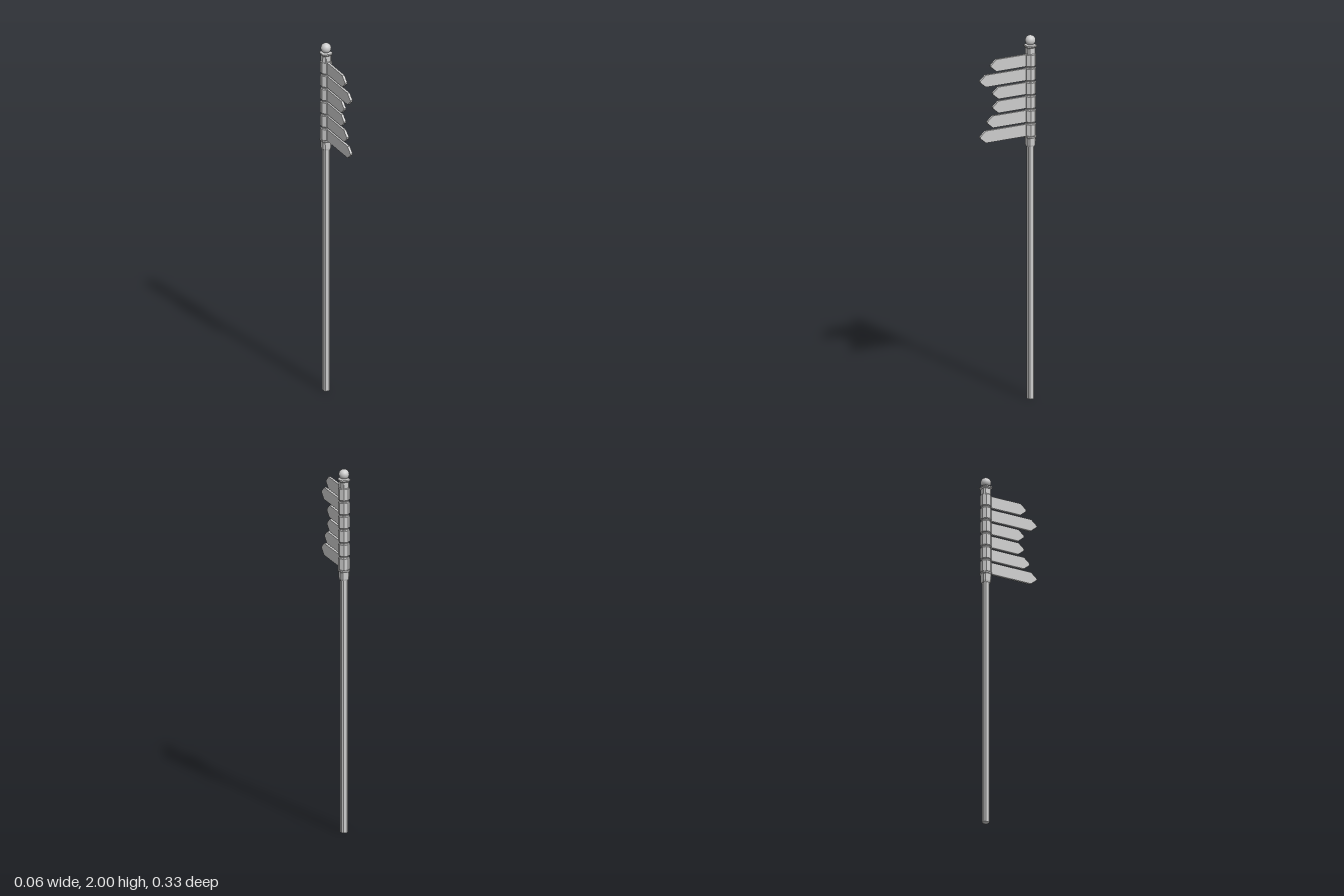
import * as THREE from 'three';

const POST_Z = -0.139;
const material = new THREE.MeshStandardMaterial({ color: 0xcccccc, flatShading: true });
const smooth = new THREE.MeshStandardMaterial({ color: 0xcccccc });

// Eight-sided turned part. Profile is [halfWidth, y] from bottom to top;
// flat is the length of the main sides as a share of the width.
function octagonPart(name, profile, flat) {
  const points = [[0, profile[0][1]], ...profile, [0, profile[profile.length - 1][1]]]
    .map(([r, y]) => new THREE.Vector2(r, y));
  const geometry = new THREE.LatheGeometry(points, 8, Math.PI / 8);
  const p = geometry.attributes.position;
  for (let i = 0; i < p.count; i++) {
    const x = p.getX(i), z = p.getZ(i), r = Math.hypot(x, z);
    const wide = Math.abs(x) > Math.abs(z);
    p.setX(i, Math.sign(x) * r * (wide ? 1 : flat));
    p.setZ(i, Math.sign(z) * r * (wide ? flat : 1));
  }
  geometry.computeVertexNormals();
  const mesh = new THREE.Mesh(geometry, material);
  mesh.name = name;
  mesh.position.z = POST_Z;
  return mesh;
}

// Pointed board running from the post towards +z
function signBoard(tip, y, height) {
  const h = height / 2, back = -0.115, thickness = 0.0134;
  const shape = new THREE.Shape([
    [back, -h], [tip - 0.034, -h], [tip, -0.004], [tip, 0.004], [tip - 0.034, h], [back, h],
  ].map(([a, b]) => new THREE.Vector2(a, b)));
  const geometry = new THREE.ExtrudeGeometry(shape, { depth: thickness, bevelEnabled: false });
  geometry.translate(0, 0, -thickness / 2);
  geometry.rotateY(-Math.PI / 2);
  const mesh = new THREE.Mesh(geometry, material);
  mesh.name = 'signBoard';
  mesh.position.y = y;
  return mesh;
}

export function createModel() {
  const group = new THREE.Group();
  group.name = 'signpost';

  // Post and the core inside the sleeves
  group.add(octagonPart('post', [[0.0175, 0], [0.0175, 1.42]], 0.6));
  group.add(octagonPart('core', [[0.024, 1.42], [0.024, 1.92]], 0.4142));

  // Six sleeves, each holding one board
  const tips = [0.103, 0.167, 0.09, 0.09, 0.124, 0.167];
  tips.forEach((tip, i) => {
    const y = 1.865 - i * 0.0768, h = 0.0335;
    group.add(octagonPart('sleeve', [
      [0.025, y - h - 0.002], [0.0285, y - h + 0.003],
      [0.0285, y + h - 0.003], [0.025, y + h + 0.002],
    ], 0.4142));
    group.add(signBoard(tip, y, 0.066));
  });

  // Collars above and below the sleeves
  group.add(octagonPart('lowerCollar', [
    [0.021, 1.39], [0.0235, 1.4], [0.0245, 1.435], [0.028, 1.44], [0.028, 1.448],
  ], 0.66));
  group.add(octagonPart('upperCollar', [
    [0.0235, 1.895], [0.0235, 1.932], [0.029, 1.939], [0.029, 1.946], [0.02, 1.95],
  ], 0.66));

  // Ball on top
  const ball = new THREE.Mesh(new THREE.SphereGeometry(0.028, 32, 20), smooth);
  ball.name = 'finial';
  ball.position.set(0, 1.972, POST_Z);
  group.add(ball);

  return group;
}
